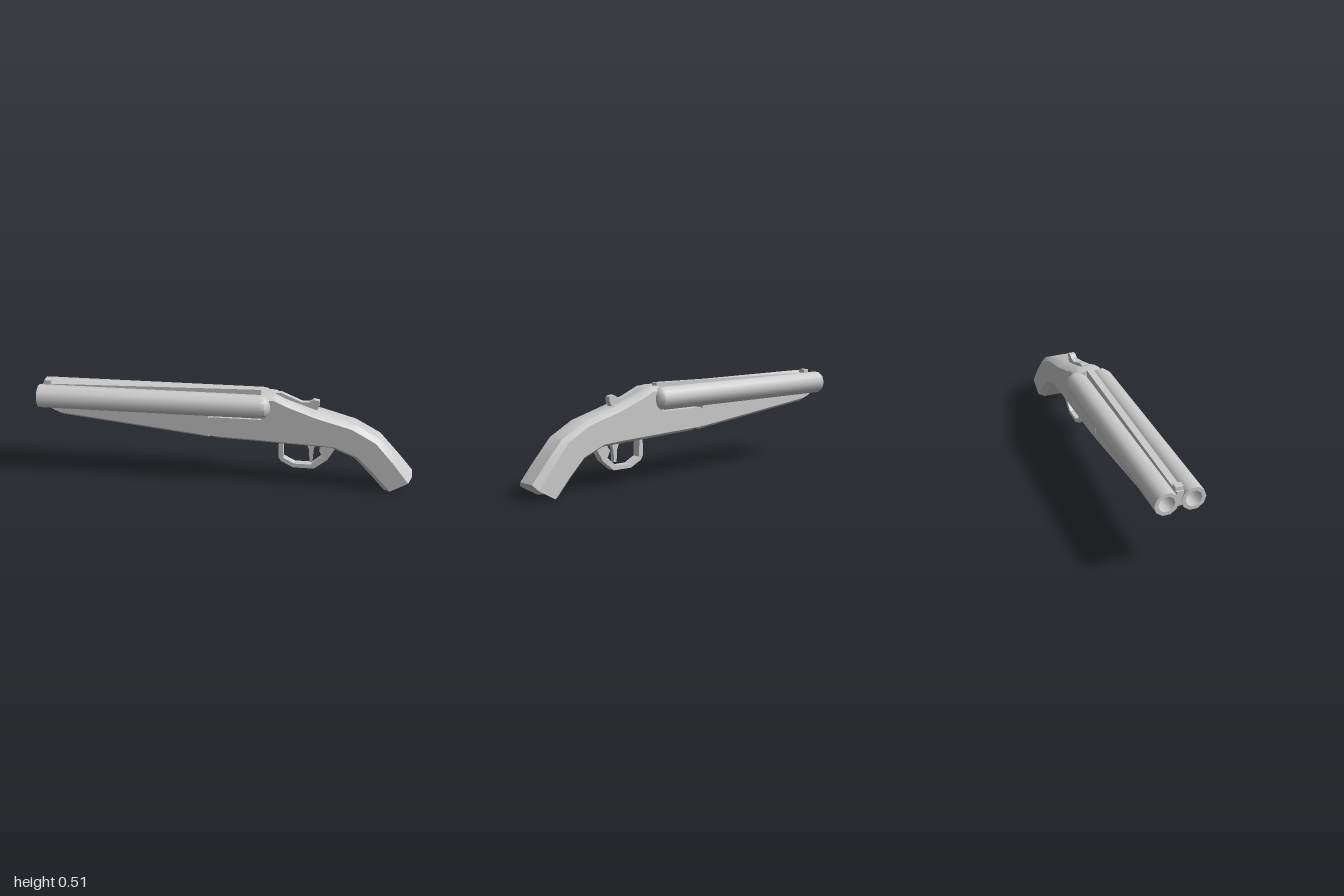
import * as THREE from 'three';
import { toCreasedNormals } from 'three/addons/utils/BufferGeometryUtils.js';

const material = new THREE.MeshStandardMaterial({ color: 0xcccccc });

function addMesh(group, name, geometry, crease = 0.66) {
  const flat = geometry.index ? geometry.toNonIndexed() : geometry;
  const mesh = new THREE.Mesh(toCreasedNormals(flat, crease), material);
  mesh.name = name;
  group.add(mesh);
  return mesh;
}

// Side outline in x/y, extruded evenly about z = 0
function plate(points, width, hole) {
  const toVec = (list) => list.map(([x, y]) => new THREE.Vector2(x, y));
  const shape = new THREE.Shape(toVec(points));
  if (hole) shape.holes.push(new THREE.Path(toVec(hole)));
  const geometry = new THREE.ExtrudeGeometry(shape, { depth: width, bevelEnabled: false });
  return geometry.translate(0, 0, -width / 2);
}

// Loft of chamfered eight-point sections.
// Station: [topX, topY, bottomX, bottomY, topChamfer, bottomChamfer, sideSetback]
function chamferedLoft(stations, half, inner) {
  const rings = stations.map(([tx, ty, bx, by, ct, cb, back = 0]) => {
    const u = new THREE.Vector2(bx - tx, by - ty).normalize();
    const at = (x, y, d, s, z) => [x + u.x * d + u.y * s, y + u.y * d - u.x * s, z];
    const left = [
      at(tx, ty, 0, 0, inner), at(tx, ty, ct, back, half),
      at(bx, by, -cb, back, half), at(bx, by, 0, 0, inner),
    ];
    return [...left, ...left.slice().reverse().map(([x, y, z]) => [x, y, -z])];
  });
  const positions = [];
  const quad = (a, b, c, d) => positions.push(...a, ...b, ...c, ...a, ...c, ...d);
  for (let i = 0; i < rings.length - 1; i++) {
    for (let j = 0; j < 8; j++) {
      const k = (j + 1) % 8;
      quad(rings[i][j], rings[i][k], rings[i + 1][k], rings[i + 1][j]);
    }
  }
  // End caps
  const first = rings[0], last = rings[rings.length - 1];
  for (const [a, b, c, d] of [[0, 1, 2, 3], [0, 3, 4, 7], [4, 5, 6, 7]]) {
    quad(last[a], last[b], last[c], last[d]);
    quad(first[d], first[c], first[b], first[a]);
  }
  const geometry = new THREE.BufferGeometry();
  geometry.setAttribute('position', new THREE.Float32BufferAttribute(positions, 3));
  return geometry;
}

export function createModel() {
  const model = new THREE.Group();
  model.name = 'doubleBarrelGun';

  // Twin bored barrels with rounded rear ends
  const barrelProfile = [
    [0, -0.6], [0.042, -0.6], [0.042, -1], [0.062, -1], [0.062, 0.195],
    [0.057, 0.22], [0.042, 0.238], [0.022, 0.246], [0, 0.248],
  ].map(([r, y]) => new THREE.Vector2(r, y));
  for (const side of [1, -1]) {
    const barrel = new THREE.LatheGeometry(barrelProfile, 10).rotateZ(-Math.PI / 2);
    barrel.translate(0, 0.436, side * 0.068);
    addMesh(model, side > 0 ? 'leftBarrel' : 'rightBarrel', barrel, 0.7);
  }

  // Sighting rib between the barrels and the bead at the muzzle
  addMesh(model, 'rib', plate([[-0.995, 0.41], [0.19, 0.41], [0.19, 0.512], [-0.995, 0.488]], 0.036));
  addMesh(model, 'frontSight', plate([[-0.985, 0.48], [-0.95, 0.48], [-0.95, 0.508], [-0.985, 0.508]], 0.04));

  // Receiver with round hinge nose, flowing into the curved grip
  addMesh(model, 'receiverAndGrip', chamferedLoft([
    [-0.102, 0.333, -0.102, 0.297, 0, 0],
    [-0.09, 0.353, -0.09, 0.277, 0, 0],
    [-0.065, 0.367, -0.065, 0.264, 0, 0],
    [-0.03, 0.368, -0.03, 0.244, 0, 0.018],
    [0.2, 0.368, 0.2, 0.236, 0, 0.018],
    [0.201, 0.497, 0.201, 0.236, 0.021, 0.018],
    [0.265, 0.496, 0.29, 0.232, 0.021, 0.018],
    [0.33, 0.467, 0.34, 0.23, 0.021, 0.018],
    [0.49, 0.412, 0.46, 0.226, 0.022, 0.018],
    [0.69, 0.356, 0.57, 0.222, 0.023, 0.02],
    [0.82, 0.285, 0.69, 0.174, 0.025, 0.022],
    [0.92, 0.175, 0.775, 0.088, 0.028, 0.025],
    [0.998, 0.083, 0.852, 0.002, 0.03, 0.03, -0.015],
  ], 0.08, 0.05));

  // Tapered wooden fore-end below the barrels
  addMesh(model, 'foreEnd', chamferedLoft([
    [-0.935, 0.392, -0.935, 0.368, 0, 0.006],
    [-0.915, 0.392, -0.915, 0.348, 0, 0.015],
    [-0.88, 0.392, -0.88, 0.333, 0, 0.018],
    [-0.08, 0.392, -0.08, 0.246, 0, 0.018],
  ], 0.079, 0.05));

  // Angular trigger guard loop
  addMesh(model, 'triggerGuard', plate(
    [[0.29, 0.24], [0.29, 0.14], [0.305, 0.118], [0.37, 0.086], [0.48, 0.086],
      [0.55, 0.14], [0.595, 0.215], [0.595, 0.24]],
    0.046,
    [[0.312, 0.232], [0.53, 0.23], [0.505, 0.19], [0.522, 0.155], [0.465, 0.108], [0.375, 0.108], [0.316, 0.138]],
  ), 0.3);

  // Curved trigger
  addMesh(model, 'trigger', plate(
    [[0.43, 0.24], [0.45, 0.19], [0.455, 0.125], [0.47, 0.125], [0.475, 0.19], [0.49, 0.24]], 0.024), 0.3);

  // Opening lever on the top tang
  addMesh(model, 'topLever', plate(
    [[0.27, 0.47], [0.44, 0.41], [0.485, 0.41], [0.5, 0.44], [0.5, 0.464], [0.47, 0.47],
      [0.445, 0.455], [0.41, 0.453], [0.3, 0.499], [0.27, 0.499]], 0.032), 0.3);

  return model;
}
